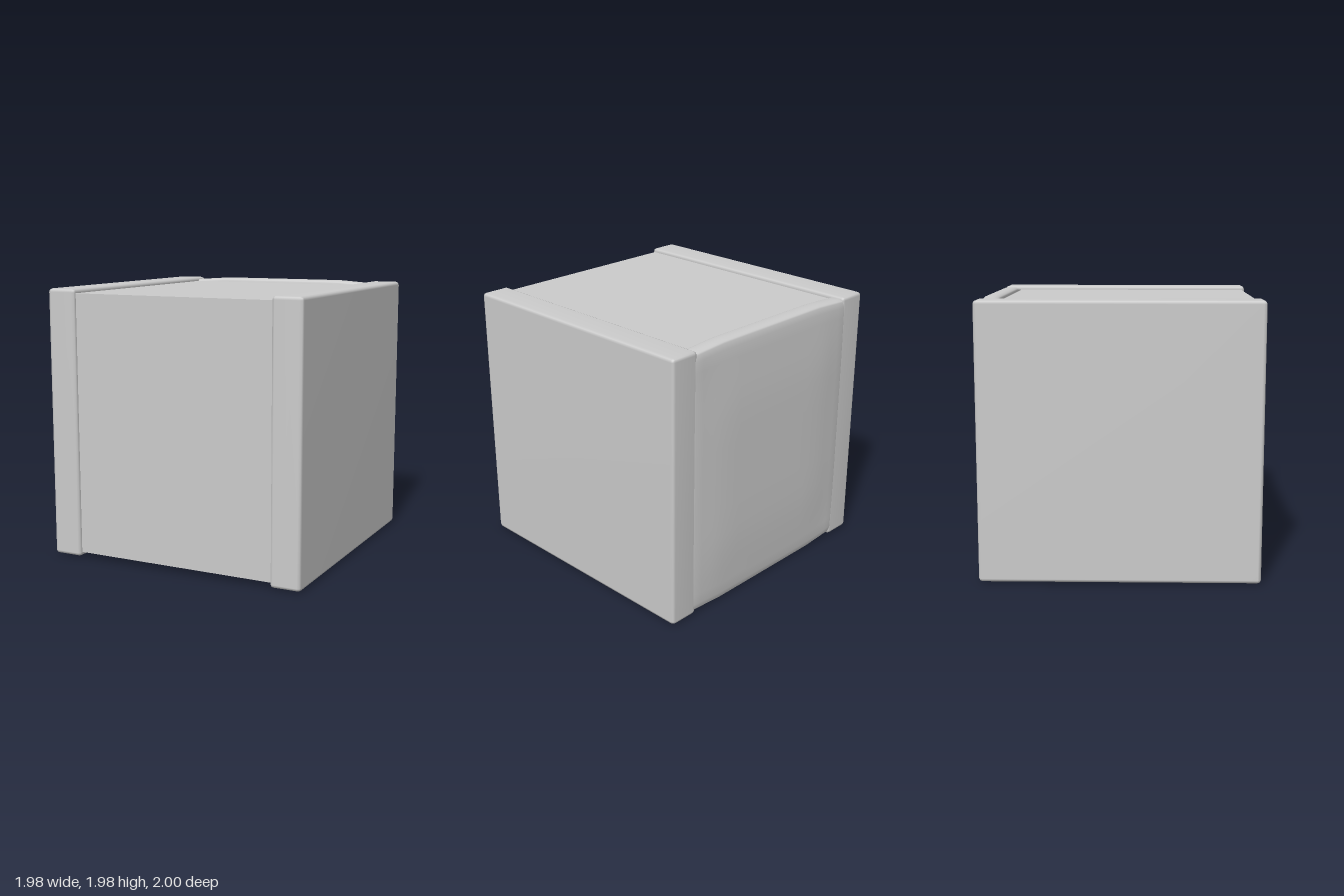
import * as THREE from 'three';
import { mergeVertices } from 'three/addons/utils/BufferGeometryUtils.js';
import { RoundedBoxGeometry } from 'three/addons/geometries/RoundedBoxGeometry.js';

// Average normals across shared vertices for soft shading
function smooth(geometry) {
  geometry.deleteAttribute('normal');
  geometry.deleteAttribute('uv');
  const merged = mergeVertices(geometry, 1e-5);
  merged.computeVertexNormals();
  return merged;
}

// Flat in the middle, falling straight to zero at the edge
const taper = (v, flat, edge) => THREE.MathUtils.clamp((edge - Math.abs(v)) / (edge - flat), 0, 1);

// Thin cushion with rounded edges, swelling at its back, top and bottom
function cushionGeometry(hx, hy, hz, r) {
  const g = new THREE.BoxGeometry(2, 2, 2, 16, 16, 8);
  const pos = g.attributes.position;
  const half = new THREE.Vector3(hx, hy, hz);
  const limit = half.clone().subScalar(r);
  const low = limit.clone().negate();
  const p = new THREE.Vector3();
  const inner = new THREE.Vector3();
  const crowd = (u) => Math.sign(u) * (1 - (1 - Math.abs(u)) ** 2); // denser near the edges
  for (let i = 0; i < pos.count; i++) {
    p.fromBufferAttribute(pos, i);
    p.set(crowd(p.x), crowd(p.y), crowd(p.z)).multiply(half);
    inner.copy(p).clamp(low, limit);
    p.sub(inner).normalize().multiplyScalar(r).add(inner);
    const fx = taper(p.x, 0.5, hx);
    const fy = taper(p.y, 0.5, hy);
    if (p.z < 0) p.z -= 0.027 * fx * fy * Math.min(1, -p.z / hz);
    p.y += 0.022 * fx * (p.y / hy);
    pos.setXYZ(i, p.x, p.y, p.z);
  }
  return smooth(g);
}

export function createModel() {
  const model = new THREE.Group();
  const grey = new THREE.MeshStandardMaterial({ color: 0xcccccc });
  grey.name = 'light grey';

  const add = (name, geometry, x, y, z) => {
    const mesh = new THREE.Mesh(geometry, grey);
    mesh.name = name;
    mesh.position.set(x, y, z);
    model.add(mesh);
  };

  // Main block, slightly recessed between the side panels
  add('centreBlock', new THREE.BoxGeometry(1.54, 1.905, 1.88), 0, 0.9925, 0.036);

  // Side panels with softened edges
  const side = smooth(new RoundedBoxGeometry(0.225, 1.967, 1.973, 1, 0.025));
  add('leftSidePanel', side, 0.8775, 0.9915, 0.0125);
  add('rightSidePanel', side, -0.8775, 0.9915, 0.0125);

  // Bowed cushion across the back
  add('backCushion', cushionGeometry(0.83, 0.967, 0.068, 0.045), 0, 0.989, -0.905);

  return model;
}
